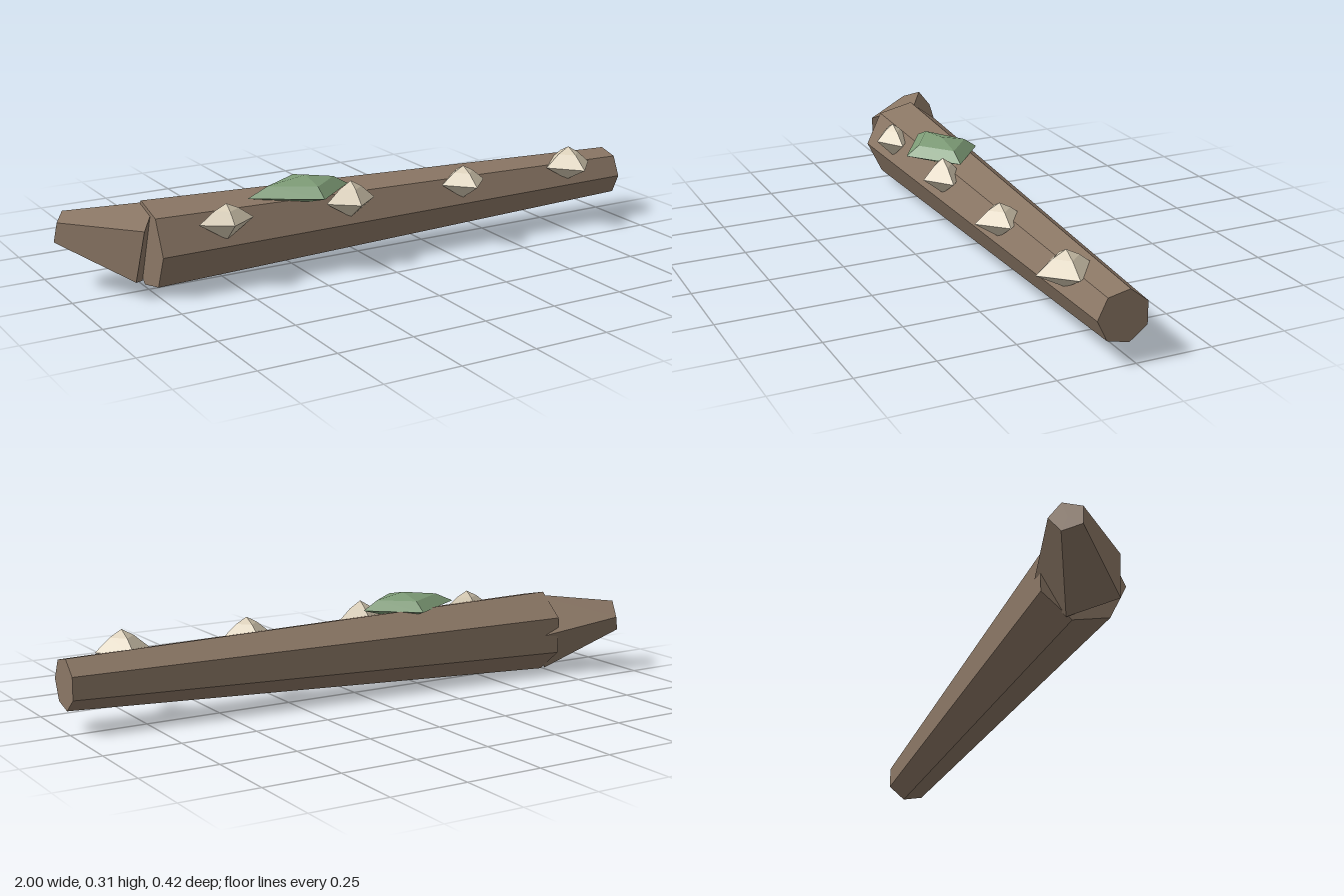
import * as THREE from 'three';

const material = (color) => new THREE.MeshStandardMaterial({ color, flatShading: true });

// Tapered prism between two points; the first corner of each ring points along cornerDir.
function taperedPrism(name, from, to, r0, r1, sides, cornerDir, mat) {
  const axis = to.clone().sub(from);
  const geo = new THREE.CylinderGeometry(r1, r0, axis.length(), sides);
  const y = axis.clone().normalize();
  const z = cornerDir.clone().addScaledVector(y, -cornerDir.dot(y)).normalize();
  const x = new THREE.Vector3().crossVectors(y, z);
  geo.applyMatrix4(new THREE.Matrix4().makeBasis(x, y, z));
  const mesh = new THREE.Mesh(geo, mat);
  mesh.position.copy(from).add(to).multiplyScalar(0.5);
  mesh.name = name;
  return mesh;
}

// Four-cornered cap: domed above the rim, pointed below it.
function facetedCap(name, position, left, right, depth, up, down, shoulder, mat) {
  const profile = [[0, -1], [1, 0], shoulder, [0, 1]].map(([r, h]) => new THREE.Vector2(r, h));
  const geo = new THREE.LatheGeometry(profile, 4);
  const p = geo.attributes.position;
  for (let i = 0; i < p.count; i++) {
    const x = p.getX(i), y = p.getY(i);
    p.setXYZ(i, x * (x > 0 ? right : left), y * (y > 0 ? up : down), p.getZ(i) * depth);
  }
  geo.computeVertexNormals();
  const mesh = new THREE.Mesh(geo, mat);
  mesh.position.set(...position);
  mesh.name = name;
  return mesh;
}

export function createModel() {
  const group = new THREE.Group();
  group.name = 'fallenLog';
  const bark = material(0x8b7765);
  const cream = material(0xd8ccb4);
  const moss = material(0x7d9b76);

  // Trunk lying along x, thick end on the right
  const thickEnd = new THREE.Vector3(-0.745, 0.14, -0.017);
  group.add(taperedPrism('trunk', thickEnd, new THREE.Vector3(0.997, 0.153, 0.042),
    0.141, 0.083, 7, new THREE.Vector3(0, 0, 1), bark));

  // Broken branch stub angled up and back from the thick end
  group.add(taperedPrism('branchStub', thickEnd, new THREE.Vector3(-0.975, 0.193, -0.162),
    0.141, 0.055, 5, new THREE.Vector3(0.545, 0, -0.84), bark));

  // Moss patch on top
  group.add(facetedCap('mossPatch', [-0.225, 0.262, 0.055], 0.205, 0.155, 0.128, 0.05, 0.042,
    [0.66, 0.62], moss));

  // Shelf fungi along the front: x, half width, depth, height above rim, height below rim
  [
    [-0.53, 0.093, 0.06, 0.057, 0.06],
    [-0.09, 0.088, 0.07, 0.067, 0.055],
    [0.342, 0.083, 0.085, 0.057, 0.055],
    [0.778, 0.09, 0.097, 0.065, 0.052],
  ].forEach(([x, w, d, up, down], i) => {
    group.add(facetedCap(`shelfFungus${i + 1}`, [x, 0.22, 0.11], w, w, d, up, down,
      [0.45, 0.65], cream));
  });

  return group;
}
